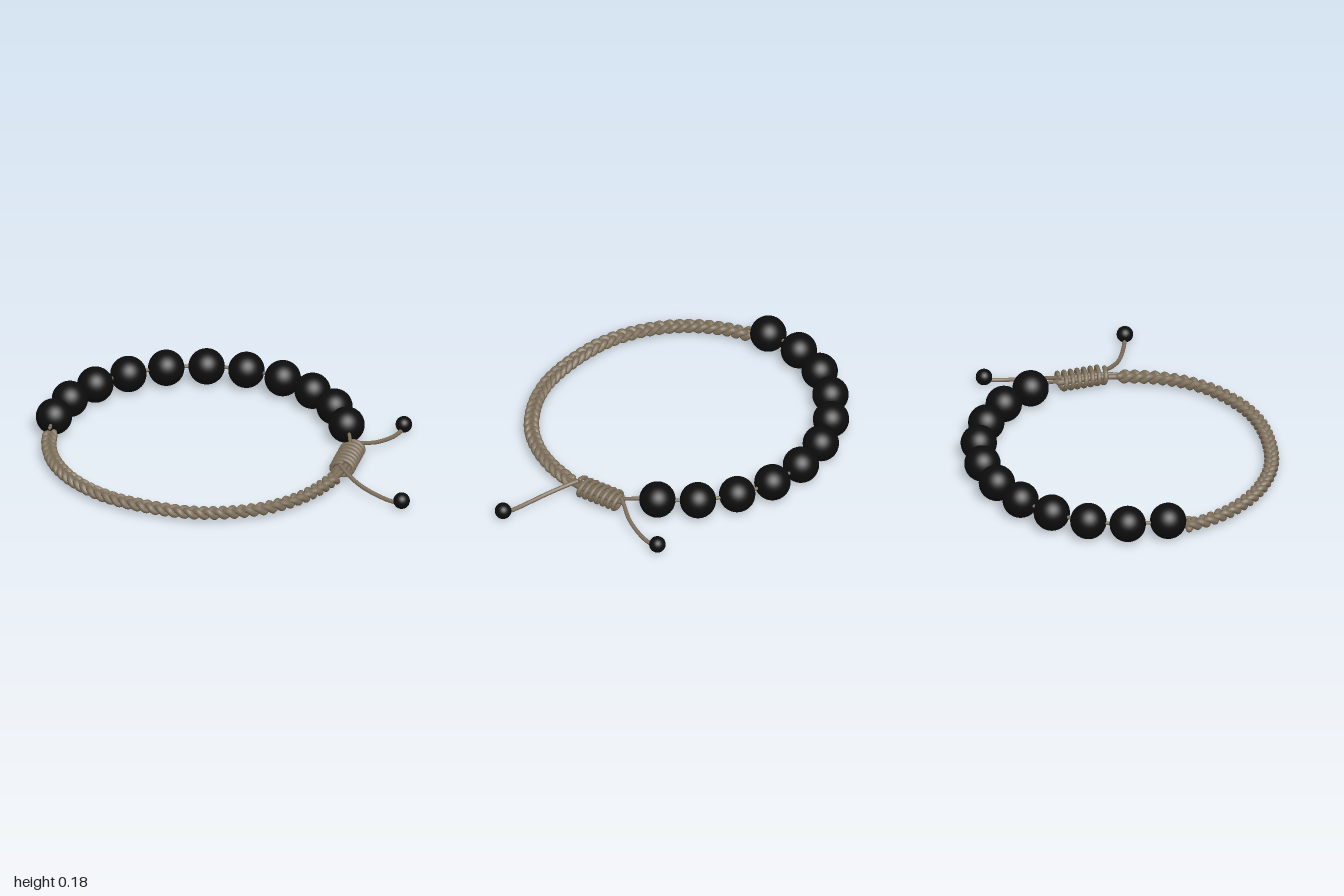
import * as THREE from 'three';

const V = (x, y, z) => new THREE.Vector3(x, y, z);

// Curve defined by a function of t in 0..1
class RuleCurve extends THREE.Curve {
  constructor(rule) {
    super();
    this.rule = rule;
  }
  getPoint(t, target = new THREE.Vector3()) {
    return target.copy(this.rule(t));
  }
}

export function createModel() {
  const group = new THREE.Group();
  const beadBlack = new THREE.MeshStandardMaterial({ name: 'matte black bead', color: 0x0c0c0c });
  const cordTan = new THREE.MeshStandardMaterial({ name: 'taupe cord', color: 0x7d6f5b });

  const add = (name, geometry, material) => {
    const mesh = new THREE.Mesh(geometry, material);
    mesh.name = name;
    group.add(mesh);
    return mesh;
  };

  // Round cord along a curve, with rounded ends
  const cord = (name, curve, radius, segments, sides = 8) => {
    const mesh = add(name, new THREE.TubeGeometry(curve, segments, radius, sides), cordTan);
    for (const t of [0, 1]) {
      const cap = new THREE.Mesh(new THREE.SphereGeometry(radius, 10, 8), cordTan);
      cap.name = name + 'End';
      cap.position.copy(curve.getPoint(t));
      mesh.add(cap);
    }
  };

  // Large beads around the back
  const beadY = 0.094;
  const beadSpots = [
    [-0.91, 0.01], [-0.88, -0.19], [-0.796, -0.368], [-0.665, -0.517], [-0.5, -0.628], [-0.31, -0.692],
    [-0.11, -0.705], [0.086, -0.664], [0.262, -0.571], [0.409, -0.435], [0.514, -0.264],
  ];
  const beadGeometry = new THREE.SphereGeometry(0.09, 40, 28);
  for (const [x, z] of beadSpots) add('bead', beadGeometry, beadBlack).position.set(x, beadY, z);

  // Thin cord threading the beads, ending in the knot
  const threadPath = new THREE.CatmullRomCurve3([
    V(-0.902, 0.088, 0.125),
    ...beadSpots.map(([x, z]) => V(x, beadY, z)),
    V(0.555, 0.085, -0.165), V(0.58, 0.065, -0.09),
  ]);
  cord('beadThread', threadPath, 0.009, 160);

  // Three-strand braid around the front
  const braidPath = new THREE.CatmullRomCurve3([
    [-0.905, 0.11], [-0.877, 0.24], [-0.8, 0.405], [-0.665, 0.56], [-0.45, 0.687], [-0.13, 0.744],
    [0.083, 0.72], [0.3, 0.62], [0.43, 0.5], [0.515, 0.365], [0.572, 0.215],
  ].map(([x, z]) => V(x, 0.046, z)));
  braidPath.arcLengthDivisions = 600;
  const up = V(0, 1, 0);
  const turns = 14;
  for (let i = 0; i < 3; i++) {
    const strand = new RuleCurve((t) => {
      const a = 2 * Math.PI * (turns * t + i / 3);
      const side = braidPath.getTangentAt(t).cross(up).normalize();
      const p = braidPath.getPointAt(t).addScaledVector(side, 0.022 * Math.sin(a));
      p.y += 0.012 * Math.sin(2 * a);
      return p;
    });
    strand.arcLengthDivisions = 1200;
    cord('braidStrand', strand, 0.0165, 420);
  }

  // Sliding knot: core cords wrapped in an oval coil
  for (const dx of [-0.013, 0.013]) {
    cord('knotCore', new THREE.CatmullRomCurve3([
      V(0.57 + dx * 0.4, 0.047, 0.22), V(0.584 + dx, 0.055, 0.14),
      V(0.59 + dx, 0.06, 0.02), V(0.583 + dx, 0.065, -0.1),
    ]), 0.014, 30);
  }
  const wraps = 7;
  cord('knotCoil', new RuleCurve((t) => {
    const a = 2 * Math.PI * wraps * t + Math.PI / 2;
    return V(0.592 + 0.053 * Math.cos(a), 0.06 + 0.038 * Math.sin(a), 0.142 - 0.238 * t);
  }), 0.0115, 260);

  // Loose tails, each finished with a small bead
  const tails = [
    [[0.582, 0.088, -0.09], [0.62, 0.07, -0.137], [0.68, 0.045, -0.21], [0.74, 0.025, -0.33], [0.765, 0.025, -0.42]],
    [[0.585, 0.088, 0.145], [0.63, 0.07, 0.188], [0.725, 0.042, 0.257], [0.86, 0.024, 0.323], [0.945, 0.024, 0.357]],
  ];
  for (const points of tails) {
    cord('tail', new THREE.CatmullRomCurve3(points.map((p) => V(...p))), 0.0105, 40);
  }
  for (const [x, z] of [[0.765, -0.428], [0.955, 0.36]]) {
    add('tailBead', new THREE.SphereGeometry(0.041, 28, 20), beadBlack).position.set(x, 0.045, z);
  }

  return group;
}
